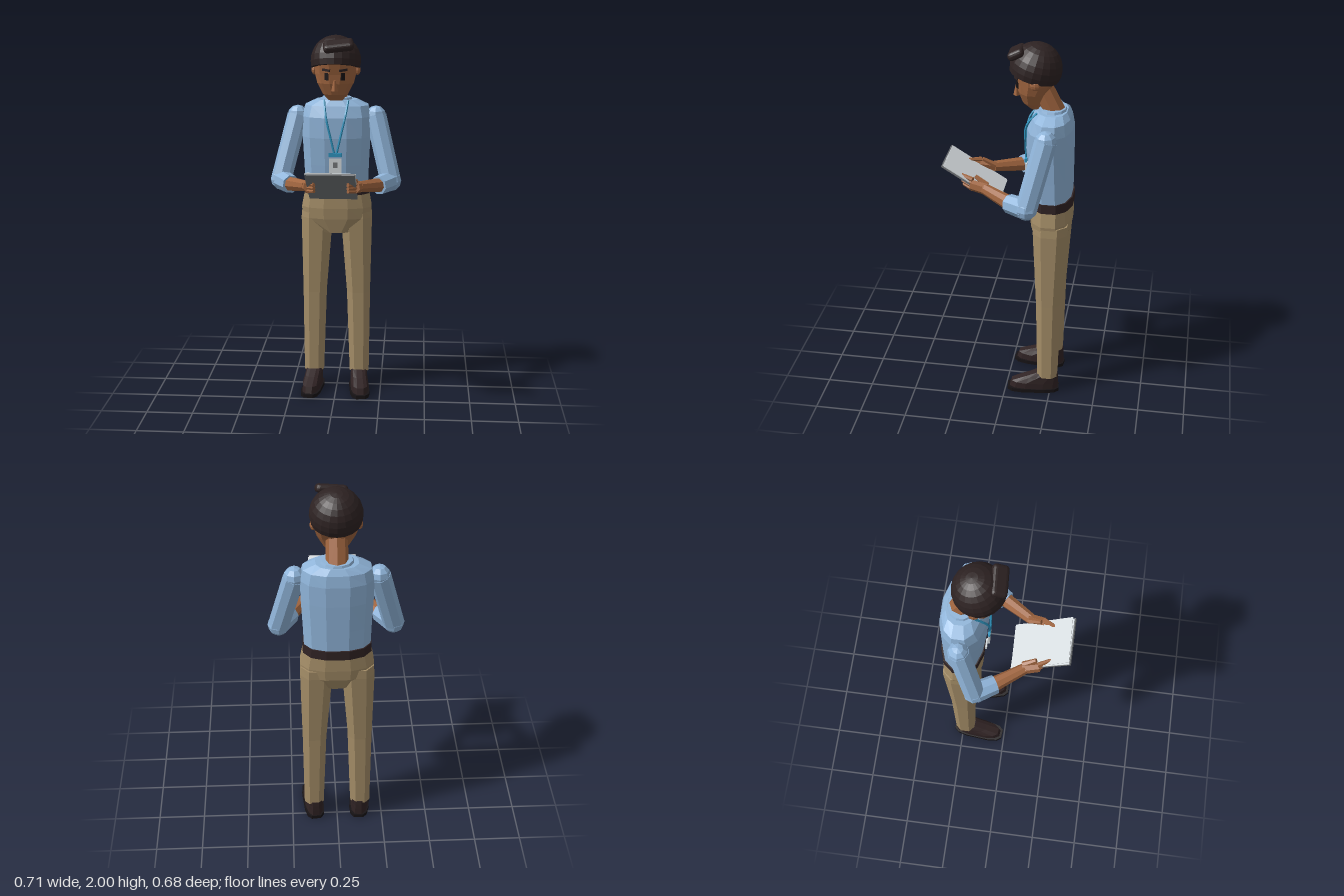
import * as THREE from 'three';
import { RoundedBoxGeometry } from 'three/addons/geometries/RoundedBoxGeometry.js';

const paint = (name, color) => {
  const m = new THREE.MeshStandardMaterial({ color, flatShading: true });
  m.name = name;
  return m;
};
const V = (x, y, z) => new THREE.Vector3(x, y, z);

export function createModel() {
  const model = new THREE.Group();
  model.name = 'officeWorker';
  const skin = paint('skin', 0xa0653f);
  const hairDark = paint('hairDark', 0x2d2222);
  const shirtBlue = paint('shirtBlue', 0x90b5da);
  const khaki = paint('khaki', 0xa58e68);
  const leather = paint('leather', 0x302324);
  const soleBlack = paint('soleBlack', 0x171315);
  const lanyardBlue = paint('lanyardBlue', 0x2f95c0);
  const paper = paint('paper', 0xd6dcdf);
  const boardGrey = paint('boardGrey', 0x74777a);

  const add = (name, geometry, material, parent = model) => {
    const mesh = new THREE.Mesh(geometry, material);
    mesh.name = name;
    parent.add(mesh);
    return mesh;
  };

  // Closed body through oval rings [y, halfWidth, zFront, zBack, centreX]
  const loft = (name, rings, material, { sides = 12, pow = 1, parent = model } = {}) => {
    const pos = [], index = [];
    const bend = (v) => Math.sign(v) * Math.abs(v) ** pow;
    for (const [y, w, zf, zb, cx = 0] of rings) {
      for (let j = 0; j < sides; j++) {
        const a = ((j + 0.5) / sides) * Math.PI * 2;
        pos.push(cx + w * bend(Math.sin(a)), y, (zf + zb) / 2 + ((zf - zb) / 2) * bend(Math.cos(a)));
      }
    }
    const last = rings.length - 1;
    for (const [y, , zf, zb, cx = 0] of [rings[0], rings[last]]) pos.push(cx, y, (zf + zb) / 2);
    const bottom = rings.length * sides;
    for (let j = 0; j < sides; j++) {
      const k = (j + 1) % sides;
      for (let i = 0; i < last; i++) {
        const a = i * sides + j, b = i * sides + k;
        index.push(a, b, a + sides, b, b + sides, a + sides);
      }
      index.push(bottom, k, j, bottom + 1, last * sides + j, last * sides + k);
    }
    const g = new THREE.BufferGeometry();
    g.setAttribute('position', new THREE.Float32BufferAttribute(pos, 3));
    g.setIndex(index);
    g.computeVertexNormals();
    return add(name, g, material, parent);
  };

  // Tapered limb between two points
  const limb = (name, a, b, ra, rb, material, sides = 8) => {
    const dir = b.clone().sub(a);
    const mesh = add(name, new THREE.CylinderGeometry(rb, ra, dir.length(), sides), material);
    mesh.position.copy(a).add(b).multiplyScalar(0.5);
    mesh.quaternion.setFromUnitVectors(V(0, 1, 0), dir.normalize());
    return mesh;
  };
  const ball = (name, p, r, material) => {
    const mesh = add(name, new THREE.SphereGeometry(r, 8, 6), material);
    mesh.position.copy(p);
    return mesh;
  };
  const box = (name, size, p, material, parent = model) => {
    const mesh = add(name, new THREE.BoxGeometry(...size), material, parent);
    mesh.position.set(...p);
    return mesh;
  };

  // Torso, collar, belt and hips
  loft('shirt', [
    [1.17, 0.175, -0.12, -0.335], [1.3, 0.18, -0.105, -0.335], [1.45, 0.188, -0.09, -0.335],
    [1.56, 0.19, -0.095, -0.332], [1.62, 0.175, -0.12, -0.32], [1.65, 0.11, -0.145, -0.3],
  ], shirtBlue, { pow: 0.85 });
  loft('collar', [[1.62, 0.1, -0.14, -0.305], [1.662, 0.08, -0.15, -0.29]], shirtBlue);
  loft('belt', [[1.135, 0.182, -0.11, -0.345], [1.185, 0.18, -0.112, -0.343]], leather, { pow: 0.85 });
  box('buckle', [0.05, 0.035, 0.009], [0, 1.16, -0.108], paper);
  loft('hips', [
    [0.92, 0.085, -0.135, -0.3], [1.0, 0.19, -0.12, -0.335],
    [1.06, 0.196, -0.115, -0.34], [1.15, 0.178, -0.118, -0.338],
  ], khaki, { pow: 0.8 });

  // Head
  limb('neck', V(0, 1.61, -0.245), V(0, 1.77, -0.165), 0.058, 0.055, skin);
  loft('face', [
    [1.655, 0.038, -0.105, -0.155], [1.69, 0.068, -0.065, -0.168], [1.75, 0.1, -0.042, -0.2],
    [1.8, 0.113, -0.035, -0.235], [1.86, 0.116, -0.02, -0.25], [1.9, 0.11, -0.03, -0.24],
  ], skin);
  const nose = add('nose', new THREE.CylinderGeometry(0.006, 0.018, 0.055, 4), skin);
  nose.position.set(0, 1.742, -0.035);

  // Hair cap, tilted back, with a swept lump at the front
  const cap = [new THREE.Vector2(0, -0.037)];
  for (let i = 0; i <= 8; i++) {
    const t = 1.855 * (1 - i / 8);
    cap.push(new THREE.Vector2(0.134 * Math.sin(t), 0.134 * Math.cos(t)));
  }
  const hair = add('hair', new THREE.LatheGeometry(cap, 20), hairDark);
  hair.position.set(0, 1.866, -0.132);
  hair.rotation.x = -0.25;
  const quiff = add('quiff', new RoundedBoxGeometry(0.16, 0.045, 0.085, 2, 0.02), hairDark);
  quiff.position.set(0.02, 1.952, -0.037);
  quiff.rotation.set(0.45, 0.1, 0.08);

  // Lanyard clip and badge
  box('lanyardClip', [0.07, 0.02, 0.012], [0, 1.365, -0.088], lanyardBlue);
  box('badge', [0.066, 0.09, 0.009], [0, 1.3, -0.09], paper);
  box('badgePicture', [0.024, 0.03, 0.004], [0, 1.31, -0.085], boardGrey);

  for (const s of [1, -1]) {
    const side = s > 0 ? 'left' : 'right';
    const P = (x, y, z) => V(s * x, y, z);

    // Face details
    const eye = box(side + 'Eye', [0.022, 0.038, 0.009], [s * 0.043, 1.79, -0.045], soleBlack);
    const brow = box(side + 'Brow', [0.046, 0.012, 0.009], [s * 0.045, 1.824, -0.039], hairDark);
    eye.rotation.y = s * 0.5;
    brow.rotation.set(0, s * 0.5, s * 0.1);
    ball(side + 'Ear', P(0.115, 1.815, -0.145), 0.027, skin).scale.set(0.6, 1, 1);

    // Lanyard strap
    const strap = new THREE.CatmullRomCurve3([
      P(0.065, 1.65, -0.15), P(0.052, 1.57, -0.093), P(0.027, 1.46, -0.086), P(0.005, 1.365, -0.088)]);
    add(side + 'LanyardStrap', new THREE.TubeGeometry(strap, 10, 0.0065, 5), lanyardBlue);

    // Arm
    const shoulder = P(0.212, 1.56, -0.213), elbow = P(0.297, 1.22, -0.13);
    ball(side + 'Shoulder', shoulder, 0.056, shirtBlue);
    limb(side + 'UpperSleeve', shoulder, elbow, 0.057, 0.056, shirtBlue);
    ball(side + 'Elbow', elbow, 0.058, shirtBlue);
    limb(side + 'LowerSleeve', elbow, P(0.234, 1.213, -0.03), 0.056, 0.05, shirtBlue);
    limb(side + 'Forearm', P(0.242, 1.213, -0.045), P(0.138, 1.235, 0.11), 0.04, 0.029, skin);

    // Hand gripping the board
    limb(side + 'Palm', P(0.142, 1.234, 0.1), P(0.125, 1.247, 0.185), 0.031, 0.029, skin, 6).scale.x = 0.8;
    for (let i = 0; i < 4; i++) {
      const y = 1.224 + i * 0.018;
      limb(side + 'Finger' + (i + 1), P(0.126, y, 0.175), P(0.087, y + 0.008, 0.25 - (3 - i) * 0.006), 0.013, 0.009, skin, 6);
    }
    limb(side + 'Thumb', P(0.123, 1.25, 0.1), P(0.106, 1.29, 0.165), 0.017, 0.011, skin, 6);

    // Trouser leg
    loft(side + 'TrouserLeg', [
      [0.1, 0.057, -0.175, -0.29, s * 0.128], [0.57, 0.068, -0.162, -0.3, s * 0.122],
      [1.0, 0.09, -0.138, -0.33, s * 0.109], [1.05, 0.085, -0.14, -0.33, s * 0.109],
    ], khaki, { sides: 8, pow: 0.85 });

    // Shoe, toes turned slightly outward
    const shoe = new THREE.Group();
    shoe.name = side + 'Shoe';
    shoe.position.set(s * 0.125, 0, -0.23);
    shoe.rotation.y = s * 0.1;
    model.add(shoe);
    loft('sole', [[0, 0.056, 0.222, -0.07], [0.02, 0.056, 0.222, -0.07]], soleBlack, { pow: 0.6, parent: shoe });
    loft('shoeUpper', [
      [0.02, 0.05, 0.21, -0.065], [0.055, 0.05, 0.2, -0.065],
      [0.085, 0.046, 0.12, -0.063], [0.112, 0.046, 0.055, -0.06],
    ], leather, { pow: 0.75, parent: shoe });
  }

  // Clipboard tilted up toward the front, with two loose sheets
  const clipboard = new THREE.Group();
  clipboard.name = 'clipboard';
  clipboard.position.set(0, 1.25, 0.189);
  clipboard.rotation.x = -0.557;
  model.add(clipboard);
  box('board', [0.255, 0.01, 0.356], [0, 0, 0], boardGrey, clipboard);
  box('lowerSheet', [0.252, 0.003, 0.35], [0, 0.0065, -0.002], paper, clipboard);
  box('upperSheet', [0.25, 0.003, 0.345], [0.003, 0.0095, -0.004], paper, clipboard).rotation.y = 0.03;

  return model;
}
